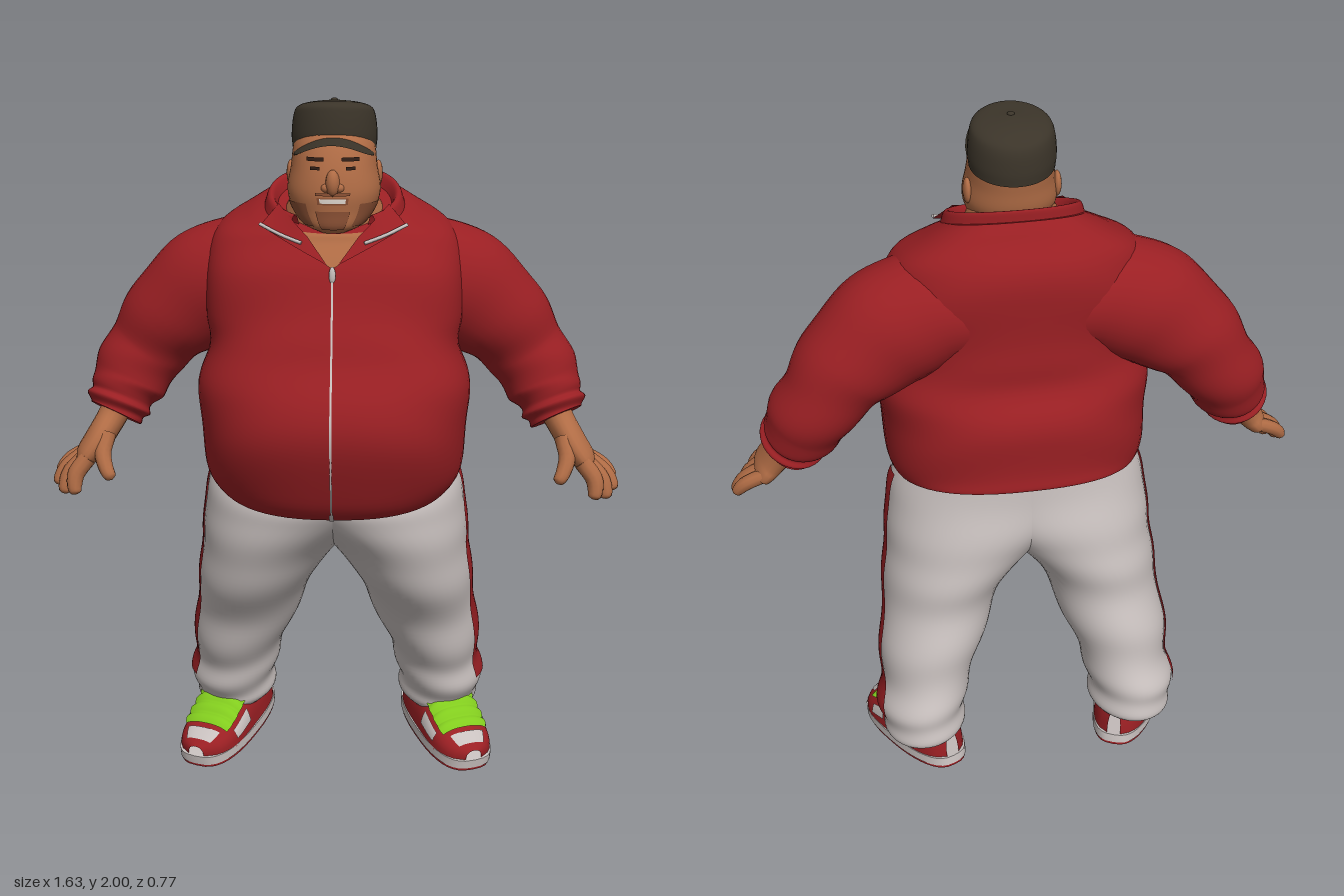
import * as THREE from 'three';

const V = (x, y, z) => new THREE.Vector3(x, y, z);
const sp = (v, p) => Math.sign(v) * Math.pow(Math.abs(v), p);
const lerp = THREE.MathUtils.lerp;
const H = Math.PI / 2;

const mat = (name, color, side = THREE.FrontSide) => {
  const m = new THREE.MeshStandardMaterial({ color, side });
  m.name = name;
  return m;
};

// Grid surface from fn(u, v); when wrapped it is a closed tube with flat end caps
function surface(fn, nu, nv, wrap = false) {
  const pos = [], idx = [], cols = wrap ? nv : nv + 1;
  for (let i = 0; i <= nu; i++)
    for (let j = 0; j < cols; j++) pos.push(...fn(i / nu, j / nv).toArray());
  for (let i = 0; i < nu; i++)
    for (let j = 0; j < nv; j++) {
      const k = (j + 1) % cols, a = i * cols + j, b = i * cols + k;
      idx.push(a, a + cols, b, b, a + cols, b + cols);
    }
  if (wrap) for (const end of [0, nu]) {
    const start = pos.length / 3, c = V(0, 0, 0);
    for (let j = 0; j < nv; j++) {
      const p = fn(end / nu, j / nv);
      c.addScaledVector(p, 1 / nv);
      pos.push(...p.toArray());
    }
    pos.push(...c.toArray());
    for (let j = 0; j < nv; j++) {
      const a = start + j, b = start + (j + 1) % nv;
      idx.push(start + nv, ...(end ? [b, a] : [a, b]));
    }
  }
  const g = new THREE.BufferGeometry();
  g.setAttribute('position', new THREE.Float32BufferAttribute(pos, 3));
  g.setIndex(idx);
  g.computeVertexNormals();
  return g;
}

// Smooth body through keys [x, y, z, rx, rz, tilt]; level keeps its sections horizontal
function body(keys, { level = true, pow = 1, fold = () => 0 } = {}) {
  const curve = (f) => new THREE.CatmullRomCurve3(keys.map(f), false, 'catmullrom');
  const path = curve(k => V(k[0], k[1], k[2]));
  const size = curve(k => V(k[3], k[4], k[5] || 0));
  return (t, a, off = 0) => {
    const c = path.getPoint(t), s = size.getPoint(t);
    const T = level ? V(0, 1, 0) : path.getTangent(t);
    const e1 = T.clone().cross(V(0, 0, 1)).normalize(), e2 = e1.clone().cross(T);
    const f = off + fold(t, a), dz = (s.y + f) * sp(Math.sin(a), pow);
    c.addScaledVector(e1, (s.x + f) * sp(Math.cos(a), pow)).addScaledVector(e2, dz);
    c.y += s.z * dz;
    return c;
  };
}
const solid = (fn, nu, nv) => surface((u, v) => fn(u, v * 2 * Math.PI), nu, nv, true);
const patch = (fn, t0, t1, a0, a1, off = 0.004, nu = 6, nv = 8) =>
  surface((u, v) => fn(lerp(t0, t1, u), lerp(a0, a1, v), off), nu, nv);
const limb = (keys, nu = 12, nv = 12) => solid(body(keys, { level: false }), nu, nv);
const ball = (x, y, z, rx, ry, rz) =>
  new THREE.SphereGeometry(1, 16, 12).scale(rx, ry, rz).translate(x, y, z);

function mirrored(geo) {
  const g = geo.clone().scale(-1, 1, 1), ix = g.index.array;
  for (let i = 0; i < ix.length; i += 3) [ix[i], ix[i + 1]] = [ix[i + 1], ix[i]];
  return g;
}

export function createModel() {
  const red = mat('red cloth', 0x9a1f23, THREE.DoubleSide);
  const grey = mat('light grey cloth', 0xc9c1bf, THREE.DoubleSide), skin = mat('skin', 0xb06c45);
  const stubble = mat('stubble', 0x8a5034), dark = mat('dark hair', 0x2e1c14);
  const capCloth = mat('cap cloth', 0x3b3429, THREE.DoubleSide), lime = mat('lime', 0x82cc1e);
  const white = mat('tooth white', 0xe4dcd2);

  const model = new THREE.Group();
  const add = (name, geo, material) => {
    const m = new THREE.Mesh(geo, material);
    m.name = name;
    model.add(m);
  };
  const pair = (name, geo, material) => {
    add(name + 'Left', geo, material);
    add(name + 'Right', mirrored(geo), material);
  };

  // Jacket body, with soft creases above the belly and at the hem
  const jacket = body([
    [0, 0.965, -0.012, 0.325, 0.265, -0.27], [0, 0.95, -0.01, 0.345, 0.285, -0.27],
    [0, 1.0, 0.018, 0.365, 0.312, -0.2], [0, 1.12, 0.045, 0.377, 0.337, -0.1],
    [0, 1.23, 0.047, 0.377, 0.327, -0.05], [0, 1.33, 0.038, 0.352, 0.272, 0],
    [0, 1.42, 0.022, 0.355, 0.25, 0], [0, 1.55, 0, 0.36, 0.23, -0.05],
    [0, 1.64, -0.015, 0.325, 0.2, -0.15], [0, 1.69, 0, 0.245, 0.168, -0.3],
    [0, 1.715, 0.01, 0.19, 0.15, -0.42],
  ], { pow: 0.84, fold: (t, a) => 0.004 * Math.sin(t * 30 + 2.5 * Math.cos(2 * a)) * Math.sin(t * Math.PI) });
  add('jacketBody', solid(jacket, 60, 64), red);
  add('zipper', patch(jacket, 0.1, 0.73, H - 0.003, H + 0.003, 0.003, 40, 1), grey);
  add('zipPull', ball(0, 1.548, 0.229, 0.009, 0.024, 0.007), grey);
  add('zipFoot', patch(jacket, 0.1, 0.16, H - 0.008, H + 0.008, 0.005, 4, 1), grey);

  // Open neck and collar
  add('chestOpening', surface((u, v) =>
    jacket(lerp(0.73, 1, u), H + (v - 0.5) * 1.15 * u, 0.005), 14, 16), skin);
  const collar = body([
    [0, 1.67, 0.02, 0.205, 0.15, -0.42], [0, 1.71, 0.02, 0.193, 0.146, -0.42],
    [0, 1.74, 0.02, 0.182, 0.143, -0.42], [0, 1.735, 0.02, 0.165, 0.13, -0.42],
    [0, 1.67, 0.02, 0.145, 0.115, -0.42],
  ], { pow: 0.95 });
  add('collar', patch(collar, 0, 1, H + 0.62, H + 2 * Math.PI - 0.62, 0, 16, 48), red);
  const lapel = (u, v) => V(
    lerp(lerp(0.015, 0.2, u), lerp(0.07, 0.15, u), v),
    lerp(lerp(1.575, 1.665, u), lerp(1.645, 1.72, u), v),
    lerp(lerp(0.22, 0.125, u), lerp(0.175, 0.09, u), v) + 0.012 * Math.sin(u * Math.PI));
  pair('lapel', surface(lapel, 10, 4), red);
  pair('lapelZip', limb([[0.085, 1.628, 0.186, 0.005, 0.005],
    [0.145, 1.648, 0.164, 0.005, 0.005], [0.2, 1.67, 0.13, 0.005, 0.005]], 8, 6), grey);

  // Sleeves with gathered cuffs
  pair('sleeve', solid(body([
    [0.13, 1.51, -0.06, 0.14, 0.15], [0.24, 1.505, -0.065, 0.162, 0.157],
    [0.36, 1.455, -0.075, 0.17, 0.152], [0.47, 1.37, -0.09, 0.142, 0.138],
    [0.545, 1.275, -0.1, 0.118, 0.12], [0.595, 1.19, -0.08, 0.112, 0.115],
    [0.618, 1.14, -0.06, 0.092, 0.1], [0.63, 1.115, -0.05, 0.092, 0.1],
    [0.642, 1.09, -0.04, 0.078, 0.085],
  ], { level: false, fold: (t, a) => 0.006 * t * Math.sin(t * 38 + 1.5 * Math.cos(a)) }), 56, 32), red);

  // Hands
  pair('palm', limb([[0.62, 1.13, -0.05, 0.045, 0.055], [0.65, 1.075, -0.025, 0.042, 0.055],
    [0.685, 1.02, 0.01, 0.04, 0.075], [0.715, 0.98, 0.02, 0.034, 0.078],
    [0.73, 0.96, 0.022, 0.015, 0.06]], 16, 20), skin);
  const fingers = [
    [0.705, 0.985, 0.075, 0.735, 0.885, 0.105], [0.715, 0.98, 0.04, 0.772, 0.876, 0.07],
    [0.72, 0.98, 0.002, 0.796, 0.89, 0.033], [0.715, 0.985, -0.035, 0.798, 0.915, -0.01],
    [0.65, 1.05, 0.045, 0.63, 0.935, 0.118],
  ];
  fingers.forEach(([x, y, z, X, Y, Z], i) => {
    const r = i === 3 ? 0.019 : 0.023, at = (s, k) => [lerp(x, X, s) + 0.02 * Math.sin(s * 3.1),
      lerp(y, Y, s), lerp(z, Z, s), r * k, r * k];
    pair(i < 4 ? 'finger' + (i + 1) : 'thumb',
      limb([at(0, 1.1), at(0.4, 1.08), at(0.75, 0.95), at(0.94, 0.75), at(1, 0.2)], 12, 10), skin);
  });

  // Trouser legs, widening upward until both merge into one waist
  const leg = body([
    [0.32, 0.14, -0.215, 0.1, 0.125], [0.32, 0.185, -0.215, 0.124, 0.157],
    [0.315, 0.25, -0.208, 0.126, 0.167], [0.3, 0.33, -0.178, 0.13, 0.172],
    [0.272, 0.45, -0.145, 0.15, 0.186], [0.238, 0.58, -0.09, 0.166, 0.214],
    [0.2, 0.69, -0.062, 0.193, 0.24], [0.145, 0.78, -0.045, 0.238, 0.258],
    [0.08, 0.86, -0.03, 0.295, 0.268, -0.05], [0.025, 0.93, -0.02, 0.335, 0.265, -0.15],
    [0, 0.985, -0.018, 0.335, 0.262, -0.27],
  ], { fold: (t, a) => 0.008 * Math.pow(1 - t, 1.2) * Math.sin(t * 36 + 2 * Math.sin(a + 0.6)) });
  pair('trouserLeg', solid(leg, 64, 48), grey);
  pair('sideStripe', surface((u, v) => leg(lerp(0.18, 0.93, u),
    lerp(-0.15 - 0.35 * Math.pow(1 - u, 6), lerp(0.6, 0.12, u), v), 0.005), 50, 8), red);

  // Shoes, heel raised and toes turned out
  const place = (g) => g.rotateX(0.16).rotateY(0.42).translate(0.33, 0.037, -0.157);
  const sole = (y0, y1, grow) => place(surface((u, v) => {
    const a = v * 2 * Math.PI;
    return V((0.094 + grow) * sp(Math.cos(a), 0.7) * (1 + 0.12 * Math.sin(a)),
      lerp(y0, y1, u), (0.22 + grow) * sp(Math.sin(a), 0.85));
  }, 2, 40, true));
  pair('outsole', sole(0, 0.009, -0.001), red);
  pair('midsole', sole(0.009, 0.036, 0.002), grey);
  const heights = new THREE.CatmullRomCurve3(
    [0.085, 0.115, 0.13, 0.128, 0.13, 0.108, 0.082, 0.06, 0.035].map((h, i) => V(i, h, 0)), false, 'catmullrom');
  const upper = (u, a, off = 0) => {
    const z = lerp(-0.214, 0.214, u);
    const w = 0.092 * Math.sqrt(1 - Math.pow(Math.abs(z) / 0.218, 3.5)) * (1 + 0.6 * z);
    return V((w + off) * sp(Math.cos(a), 0.8), 0.03 + (heights.getPoint(u).y + off) * sp(Math.sin(a), 0.75), z);
  };
  const onShoe = (u0, u1, a0, a1, off) => place(patch(upper, u0, u1, a1, a0, off, 24, 16));
  pair('shoeUpper', onShoe(0, 1, 0, Math.PI, 0), red);
  pair('toePanel', onShoe(0.86, 0.95, 1, Math.PI - 1, 0.004), grey);
  pair('innerSidePanel', onShoe(0.58, 0.78, Math.PI - 0.6, Math.PI - 0.22, 0.004), grey);
  pair('outerSidePanel', onShoe(0.58, 0.74, 0.22, 0.55, 0.004), grey);
  pair('laces', place(surface((u, v) => upper(lerp(0.42, 0.83, u), lerp(2.35, 0.8, v),
    0.006 + 0.006 * Math.abs(Math.sin(u * 5 * Math.PI))), 40, 14)), lime);

  // Neck and head
  add('neck', solid(body([
    [0, 1.62, 0.02, 0.15, 0.135, -0.4], [0, 1.69, 0.025, 0.14, 0.122, -0.35],
    [0, 1.74, 0.04, 0.115, 0.105, -0.1], [0, 1.82, 0.04, 0.105, 0.1, 0],
  ]), 16, 32), skin);
  const head = body([
    [0, 1.652, 0.135, 0.035, 0.04], [0, 1.67, 0.115, 0.078, 0.083], [0, 1.71, 0.085, 0.112, 0.115],
    [0, 1.76, 0.07, 0.127, 0.134], [0, 1.82, 0.06, 0.118, 0.134], [0, 1.88, 0.045, 0.11, 0.125],
    [0, 1.92, 0.04, 0.09, 0.1],
  ], { pow: 0.94 });
  add('head', solid(head, 36, 40), skin);
  const face = (i0, i1, a0, a1, off) => patch(head, i0 / 6, i1 / 6, H + a0, H + a1, off);
  add('goatee', face(0.8, 2.1, -0.38, 0.38, 0.003), stubble);
  add('moustache', face(2.95, 3.08, -0.34, 0.34, 0.005), stubble);
  add('mouth', face(2.48, 2.84, -0.31, 0.31, 0.003), stubble);
  add('teeth', face(2.57, 2.8, -0.25, 0.25, 0.006), white);
  pair('jawStubble', face(1.1, 2.5, -1.4, -0.6, 0.002), stubble);
  pair('eye', face(4.06, 4.2, -0.5, -0.27, 0.004), dark);
  pair('brow', face(4.42, 4.58, -0.6, -0.18, 0.006), dark);
  add('nose', ball(0, 1.79, 0.198, 0.019, 0.036, 0.022), skin);
  pair('nostril', ball(0.017, 1.777, 0.194, 0.015, 0.013, 0.015), skin);
  pair('ear', ball(0.12, 1.795, 0.025, 0.012, 0.036, 0.024), skin);

  // Cap with a crown sloping to the back
  add('capCrown', solid(body([
    [0, 1.863, 0.03, 0.114, 0.115, 0.12], [0, 1.9, 0.03, 0.117, 0.117, 0.12],
    [0, 1.95, 0.03, 0.112, 0.112, 0.13], [0, 1.975, 0.034, 0.1, 0.1, 0.13],
    [0, 1.988, 0.04, 0.065, 0.068, 0.1], [0, 1.994, 0.045, 0.005, 0.005, 0],
  ]), 30, 40), capCloth);
  const brim = (lift) => surface((u, v) => {
    const s = 2 * v - 1, back = 0.02 + 0.11 * Math.sqrt(1 - s * s);
    const front = 0.06 + 0.215 * Math.sqrt(1 - Math.pow(Math.abs(s), 3));
    return V(-0.112 * s, 1.898 - 0.045 * s * s + lift * (1 - u), lerp(back, front, u));
  }, 8, 32);
  add('capBrimTop', brim(0.008), capCloth);
  add('capBrimUnderside', brim(-0.014), capCloth);
  add('capButton', ball(0, 1.994, 0.045, 0.01, 0.006, 0.01), capCloth);

  return model;
}
